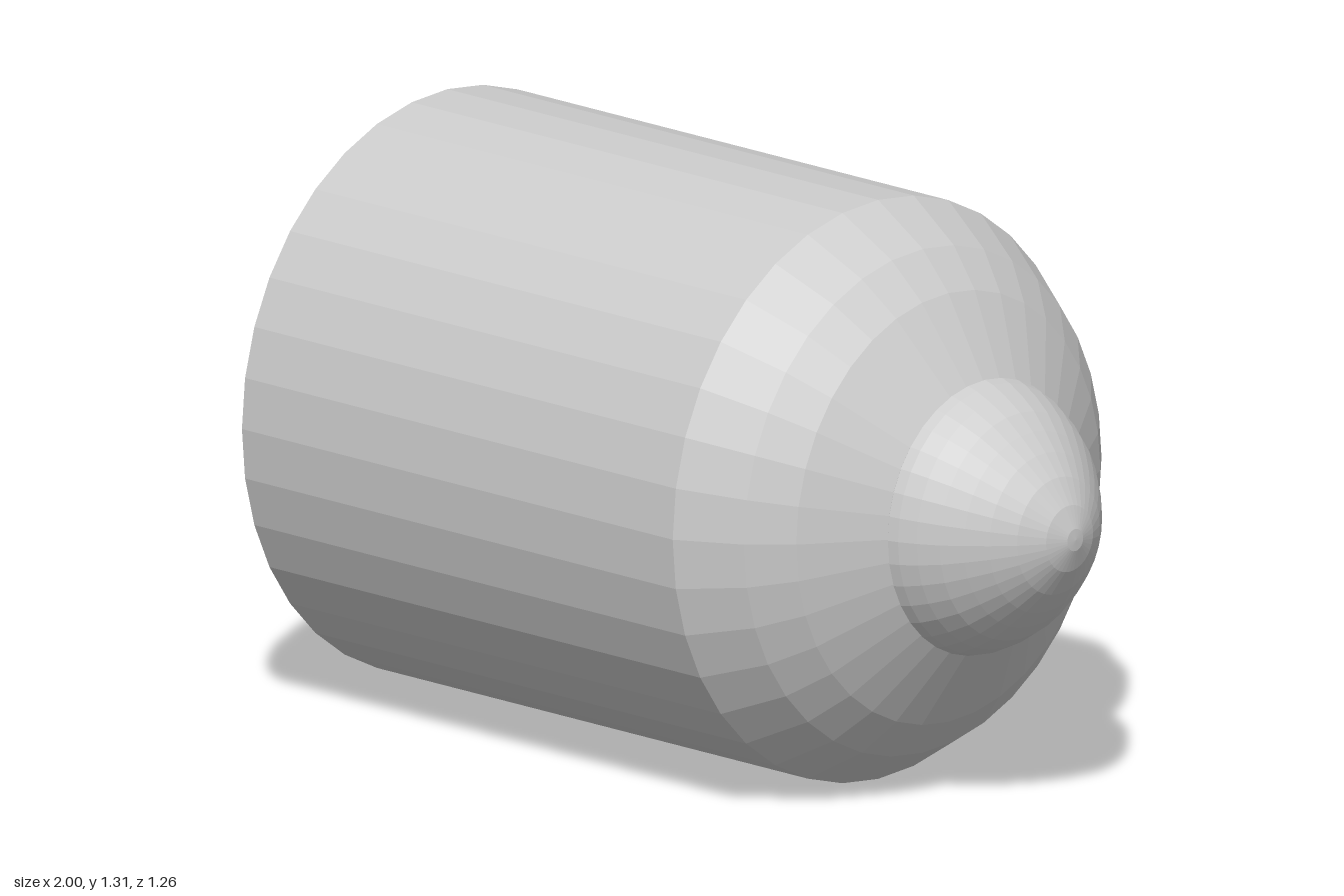
import * as THREE from 'three';

const SIDES = 36;
const AXIS_Y = 0.655;
const SQUASH = 0.96; // depth is slightly narrower than height

const material = new THREE.MeshStandardMaterial({ color: 0xcccccc, flatShading: true });

// Lathe lying along +x; profile is a list of [radius, x]
function turned(name, profile) {
  const points = profile.map(([r, x]) => new THREE.Vector2(r, x));
  const mesh = new THREE.Mesh(new THREE.LatheGeometry(points, SIDES), material);
  mesh.name = name;
  mesh.scale.z = SQUASH;
  mesh.rotation.z = -Math.PI / 2;
  mesh.position.y = AXIS_Y;
  return mesh;
}

// Disc outline with a round centre hole that opens downwards in a wedge
function keyholeShape(outer, inner, halfAngle, steps) {
  const points = [];
  const arc = (r, from, to) => {
    for (let i = 0; i <= steps; i++) {
      const a = from + ((to - from) * i) / steps;
      points.push(new THREE.Vector2(r * SQUASH * Math.sin(a), -r * Math.cos(a)));
    }
  };
  arc(outer, halfAngle, 2 * Math.PI - halfAngle);
  arc(inner, 2 * Math.PI - halfAngle, halfAngle);
  return new THREE.Shape(points);
}

export function createModel() {
  const group = new THREE.Group();

  // Hollow casing: inner wall, rear rim, outer wall, domed shoulder
  group.add(turned('casing', [
    [0, 0.66], [0.27, 0.66], [0.43, 0.56], [0.5, 0.48], [0.59, 0.35],
    [0.59, -0.97], [0.655, -0.97], [0.655, 0.38],
    [0.57, 0.52], [0.485, 0.6], [0.305, 0.71], [0, 0.71],
  ]));

  // Rounded nose, closed at the back
  group.add(turned('nose', [
    [0, 0.715], [0.31, 0.715], [0.303, 0.74], [0.284, 0.78], [0.256, 0.825],
    [0.22, 0.865], [0.18, 0.905], [0.132, 0.945], [0.075, 0.98], [0.025, 0.998], [0, 1],
  ]));

  // Core with keyhole slot, standing slightly proud of the rear rim
  const front = 0.52;
  const core = new THREE.Mesh(
    new THREE.ExtrudeGeometry(keyholeShape(0.474, 0.14, Math.PI / 6, 30), {
      depth: front + 1,
      bevelEnabled: false,
    }),
    material
  );
  core.name = 'core';
  core.rotation.y = -Math.PI / 2;
  core.position.set(front, AXIS_Y + 0.02, 0);
  group.add(core);

  return group;
}
